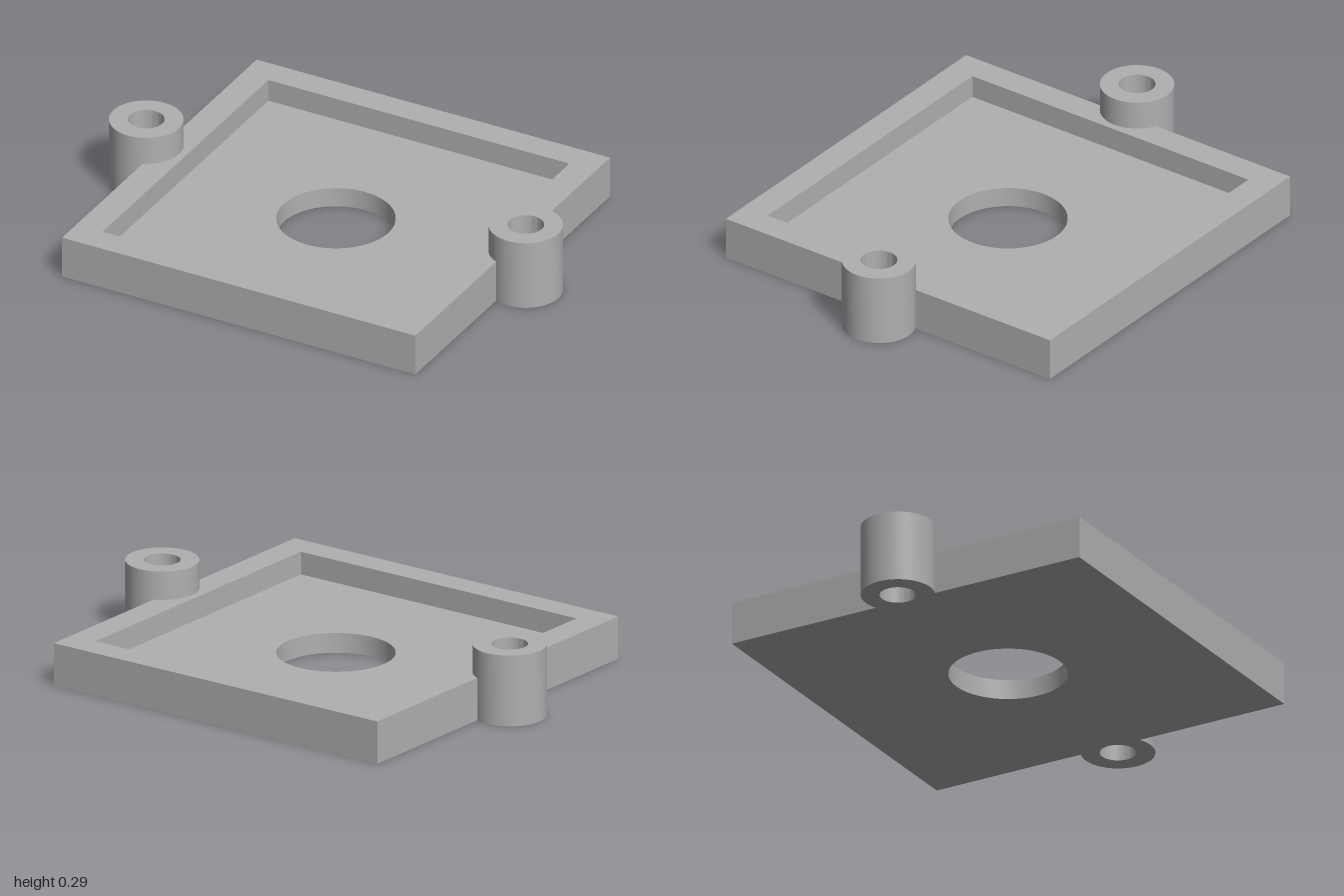
import * as THREE from 'three';
import { toCreasedNormals } from 'three/addons/utils/BufferGeometryUtils.js';

const U = 1 / 17; // one design unit; the part is 34 units wide
const HALF = 13.5, POCKET = 11.5, FLOOR = 1.4, HEIGHT = 3;
const BOSS_X = 14.5, BOSS_R = 2.5, BOSS_HOLE = 1.23, BOSS_HEIGHT = 5;

// Square outline with an arc notch on each side where a boss sits
function plateOutline() {
  const a = Math.acos((BOSS_X - HALF) / BOSS_R);
  const s = new THREE.Shape();
  s.moveTo(-HALF, -HALF);
  s.lineTo(HALF, -HALF);
  s.absarc(BOSS_X, 0, BOSS_R, Math.PI + a, Math.PI - a, true);
  s.lineTo(HALF, HALF);
  s.lineTo(-HALF, HALF);
  s.absarc(-BOSS_X, 0, BOSS_R, a, -a, true);
  s.closePath();
  return s;
}

function circleHole(r) {
  return new THREE.Path().absarc(0, 0, r, 0, Math.PI * 2, true);
}

// Extrude a plan shape upwards between two heights
function slab(name, shape, y0, y1, material) {
  let g = new THREE.ExtrudeGeometry(shape, { depth: y1 - y0, bevelEnabled: false, curveSegments: 32 });
  g.rotateX(-Math.PI / 2).translate(0, y0, 0).scale(U, U, U);
  g = toCreasedNormals(g, 0.6);
  const mesh = new THREE.Mesh(g, material);
  mesh.name = name;
  return mesh;
}

export function createModel() {
  const grey = new THREE.MeshStandardMaterial({ color: 0xb0b0b0 });
  grey.name = 'grey';
  const model = new THREE.Group();
  model.name = 'mountingPlate';

  // Floor with the central opening
  const floor = plateOutline();
  floor.holes.push(circleHole(4));
  model.add(slab('floor', floor, 0, FLOOR, grey));

  // Raised rim around the square pocket
  const rim = plateOutline();
  const P = POCKET;
  rim.holes.push(new THREE.Path([[-P, -P], [-P, P], [P, P], [P, -P]].map(([x, y]) => new THREE.Vector2(x, y))));
  model.add(slab('rim', rim, FLOOR, HEIGHT, grey));

  // Screw bosses on both sides
  for (const [name, side] of [['leftBoss', 1], ['rightBoss', -1]]) {
    const ring = new THREE.Shape().absarc(0, 0, BOSS_R, 0, Math.PI * 2, false);
    ring.holes.push(circleHole(BOSS_HOLE));
    const boss = slab(name, ring, 0, BOSS_HEIGHT, grey);
    boss.position.x = side * BOSS_X * U;
    model.add(boss);
  }
  return model;
}
